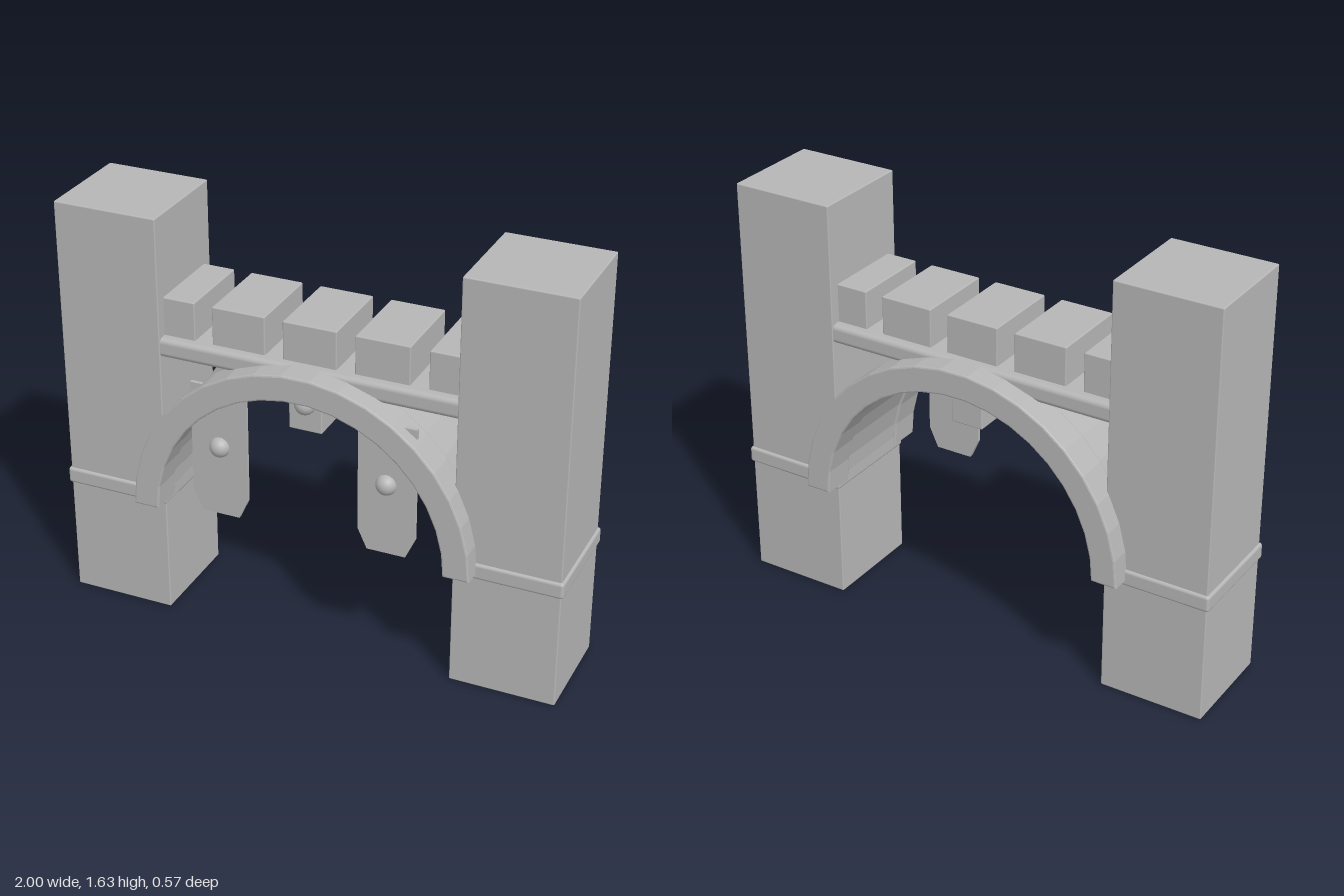
import * as THREE from 'three';
import { RoundedBoxGeometry } from 'three/addons/geometries/RoundedBoxGeometry.js';

export function createModel() {
  const model = new THREE.Group();
  model.name = 'gateway';
  const stone = new THREE.MeshStandardMaterial({ color: 0xb6b6b6 });
  stone.name = 'grey stone';

  const add = (name, geometry, x = 0, y = 0, z = 0) => {
    const mesh = new THREE.Mesh(geometry, stone);
    mesh.name = name;
    mesh.position.set(x, y, z);
    model.add(mesh);
    return mesh;
  };
  // Softly bevelled block given by its centre x, bottom and top
  const block = (name, x, w, y0, y1, d, r = 0.005, z = 0) =>
    add(name, new RoundedBoxGeometry(w, y1 - y0, d, 2, r), x, (y0 + y1) / 2, z);

  // Half ring of faceted arch stones, centred on z
  const SEGMENTS = 19;
  const SPRING = 0.49;
  const archGeometry = (inner, outer, depth, bevel) => {
    const points = [];
    for (let i = 0; i <= SEGMENTS; i++) {
      const a = (i / SEGMENTS) * Math.PI;
      points.push(new THREE.Vector2(Math.cos(a) * outer, Math.sin(a) * outer));
    }
    for (let i = SEGMENTS; i >= 0; i--) {
      const a = (i / SEGMENTS) * Math.PI;
      points.push(new THREE.Vector2(Math.cos(a) * inner, Math.sin(a) * inner));
    }
    const geometry = new THREE.ExtrudeGeometry(new THREE.Shape(points), {
      depth: depth - 2 * bevel,
      bevelEnabled: bevel > 0,
      bevelThickness: bevel,
      bevelSize: bevel,
      bevelOffset: -bevel,
      bevelSegments: 2,
    });
    geometry.translate(0, 0, -depth / 2 + bevel);
    return geometry;
  };

  // Towers with a moulding at the spring line
  for (const s of [-1, 1]) {
    block('tower', s * 0.785, 0.41, 0, 1.63, 0.41);
    block('towerMoulding', s * 0.7875, 0.425, 0.465, 0.53, 0.43, 0.012);
  }

  // Arch rings on both faces and the vault between them
  for (const s of [-1, 1]) add('archRing', archGeometry(0.57, 0.672, 0.13, 0.007), 0, SPRING, s * 0.22);
  add('archVault', archGeometry(0.578, 0.64, 0.33, 0), 0, SPRING, 0);

  // Walkway and battlements
  block('walkway', 0, 1.2, 1.085, 1.16, 0.405, 0.02);
  for (let i = -2; i <= 2; i++) block('battlement', i * 0.28, 0.21, 1.15, 1.31, 0.325);

  // Keystone beam under the crown with its boss
  block('keystoneBeam', 0, 0.13, 0.91, 1.09, 0.4);
  const boss = (x, y, z) => add('boss', new THREE.SphereGeometry(0.04, 24, 16), x, y, z);
  boss(0, 1.02, 0.2);

  // Hanging banners with clipped corners, behind the front ring
  const banner = new THREE.Shape([
    [-0.112, 1.03], [-0.112, 0.58], [-0.075, 0.5],
    [0.075, 0.5], [0.112, 0.58], [0.112, 1.03],
  ].map(([x, y]) => new THREE.Vector2(x, y)));
  for (const s of [-1, 1]) {
    add('banner', new THREE.ExtrudeGeometry(banner, { depth: 0.015, bevelEnabled: false }), s * 0.332, 0, 0.218);
    boss(s * 0.33, 0.785, 0.23);
  }
  return model;
}
